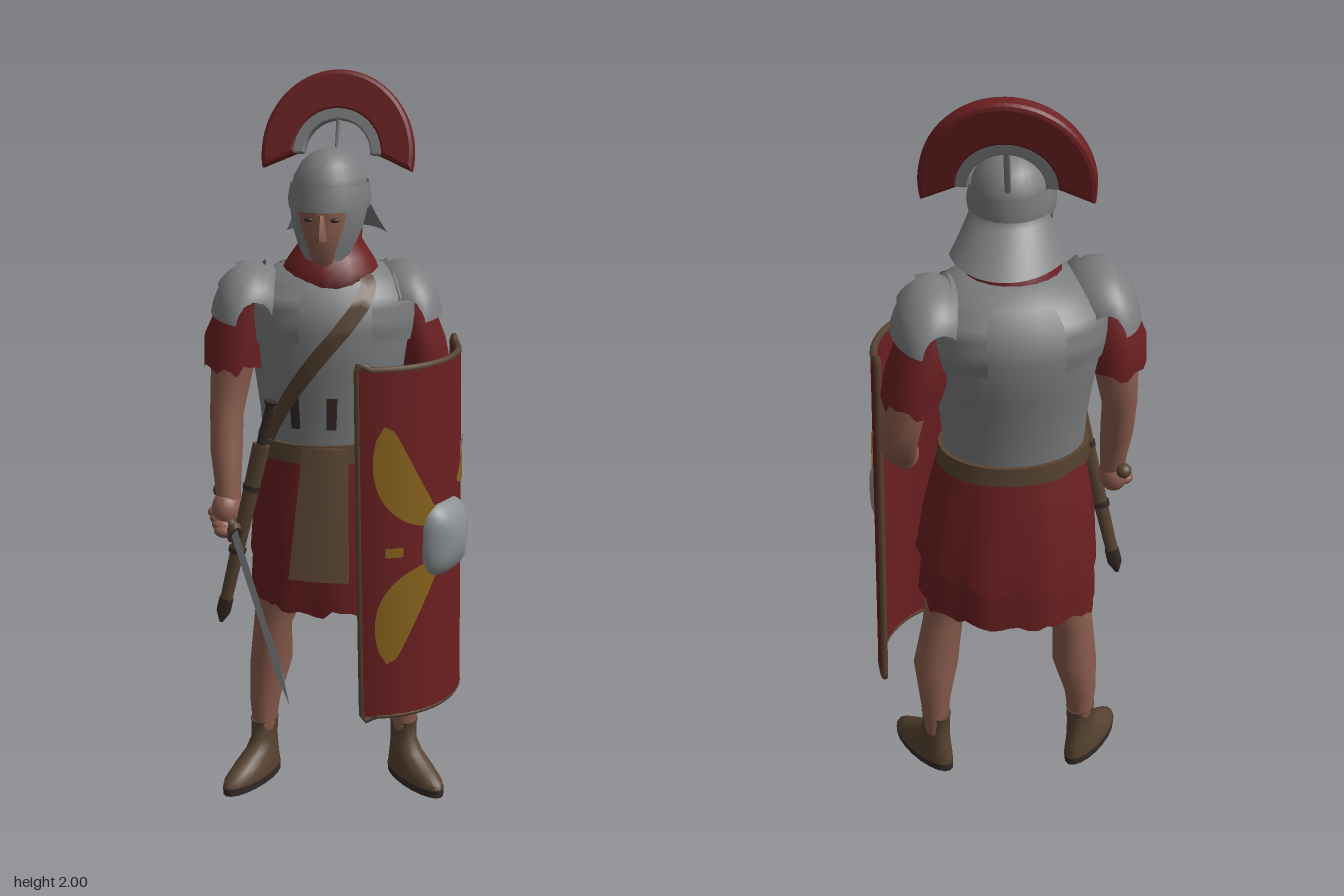
import * as THREE from 'three';
import { toCreasedNormals } from 'three/addons/utils/BufferGeometryUtils.js';
import { ParametricGeometry } from 'three/addons/geometries/ParametricGeometry.js';

const mat = (name, color) => Object.assign(new THREE.MeshStandardMaterial({ color, side: THREE.DoubleSide }), { name });
const V = (x, y, z) => new THREE.Vector3(x, y, z);
const lerp = THREE.MathUtils.lerp;

// Skin of elliptical rings, rows run bottom to top: [x, y, z, rx, rz]
function tube(rows, { yaw = 0, follow = false, segs = 20, hem = 0, pleat = 0, open = false, crease = 0.9 } = {}) {
  const pos = [], idx = [], c = rows.map(r => V(r[0], r[1], r[2]));
  rows.forEach((r, i) => {
    const q = new THREE.Quaternion();
    if (follow) q.setFromUnitVectors(V(0, 1, 0), c[Math.min(i + 1, c.length - 1)].clone().sub(c[Math.max(i - 1, 0)]).normalize());
    q.multiply(new THREE.Quaternion().setFromAxisAngle(V(0, 1, 0), yaw));
    for (let j = 0; j < segs; j++) {
      const a = j / segs * Math.PI * 2, fade = 1 - i / (rows.length - 1);
      const k = 1 + pleat * fade * Math.sin(a * 9), noise = Math.abs(Math.sin(j * 12.99) * 43.7) % 1;
      const p = V(r[3] * k * Math.sin(a), i ? 0 : hem * noise, r[4] * k * Math.cos(a)).applyQuaternion(q).add(c[i]);
      pos.push(p.x, p.y, p.z);
    }
  });
  const at = (i, j) => i * segs + j % segs, n = rows.length - 1;
  for (let i = 0; i < n; i++) for (let j = 0; j < segs; j++)
    idx.push(at(i, j), at(i, j + 1), at(i + 1, j + 1), at(i, j), at(i + 1, j + 1), at(i + 1, j));
  if (!open) {
    pos.push(...c[0].toArray(), ...c[n].toArray());
    const b = (n + 1) * segs;
    for (let j = 0; j < segs; j++) idx.push(b, at(0, j + 1), at(0, j), b + 1, at(n, j), at(n, j + 1));
  }
  const g = new THREE.BufferGeometry();
  g.setAttribute('position', new THREE.Float32BufferAttribute(pos, 3));
  g.setIndex(idx);
  g.computeVertexNormals();
  return toCreasedNormals(g, crease);
}
const sheet = (f, nu = 16, nv = 6) => new ParametricGeometry((u, v, t) => t.copy(f(u, v)), nu, nv);

export function createModel() {
  const root = new THREE.Group();
  root.name = 'legionary';
  const red = mat('red cloth', 0x6b1f21), steel = mat('steel', 0x7b7d7e), bright = mat('polished steel', 0x8b8f91),
    skin = mat('skin', 0x8a5c4d), leather = mat('leather', 0x574331), dark = mat('dark leather', 0x352b27), gold = mat('gold paint', 0x86621c);
  const add = (name, geo, m, parent = root) => {
    const mesh = new THREE.Mesh(geo, m);
    mesh.name = name;
    parent.add(mesh);
    return mesh;
  };
  const ball = (name, m, p, s) => {
    const b = add(name, new THREE.SphereGeometry(1, 20, 14), m);
    b.position.set(...p); b.scale.set(...s);
  };

  // Legs and shoes
  add('rightLeg', tube([[-.218, .12, -.148, .03, .036], [-.215, .24, -.152, .043, .048], [-.198, .36, -.165, .06, .062],
    [-.19, .48, -.155, .054, .056], [-.15, .62, -.165, .08, .085], [-.11, .8, -.17, .1, .1]]), skin);
  add('leftLeg', tube([[.18, .12, -.225, .03, .036], [.18, .24, -.222, .043, .048], [.175, .36, -.225, .06, .06],
    [.158, .48, -.2, .054, .056], [.12, .62, -.185, .08, .085], [.09, .8, -.18, .1, .1]]), skin);
  for (const [side, x, z, yaw] of [['right', -.218, -.148, -.42], ['left', .18, -.222, .78]]) {
    const foot = new THREE.Group();
    foot.name = side + 'Foot';
    foot.position.set(x, 0, z);
    foot.rotation.y = yaw;
    root.add(foot);
    add('shoe', tube([[0, .02, .06, .045, .12], [0, .035, .058, .047, .117], [0, .06, .04, .042, .095],
      [0, .09, .012, .037, .06], [0, .12, 0, .034, .045], [0, .17, -.002, .036, .043], [0, .178, -.002, .038, .046]]), leather, foot);
    add('sole', tube([[0, 0, .06, .045, .122], [0, .022, .06, .047, .123]]), dark, foot);
  }

  // Tunic skirt in two ragged layers
  add('skirt', tube([[-.015, .56, -.175, .235, .16], [-.02, .75, -.175, .222, .163], [-.02, .9, -.17, .205, .155],
    [-.025, 1.03, -.165, .18, .135]], { segs: 60, hem: .025, pleat: .03, open: true }), red);
  add('upperSkirt', tube([[-.015, .68, -.188, .236, .175], [-.02, .85, -.18, .222, .168], [-.025, 1.03, -.165, .185, .138]],
    { segs: 60, hem: .06, pleat: .03, open: true }), red);

  // Breastplate, belt, apron
  const yaw = .28;
  const torso = [[-.03, 1.03, -.165, .178, .14], [-.03, 1.12, -.165, .184, .152], [-.03, 1.25, -.168, .202, .178],
    [-.03, 1.37, -.173, .225, .2], [-.03, 1.44, -.173, .225, .19], [-.025, 1.49, -.17, .185, .15], [-.02, 1.525, -.165, .11, .1]];
  add('breastplate', tube(torso, { yaw, segs: 32 }), steel);
  add('belt', tube([[-.028, 1.005, -.165, .196, .156], [-.03, 1.055, -.165, .192, .154]], { yaw, segs: 32 }), leather);
  const apron = new THREE.BoxGeometry(1, .34, .018, 4, 4, 1), ap = apron.attributes.position;
  for (let i = 0; i < ap.count; i++) {
    const d = .5 - ap.getY(i) / .34, u = ap.getX(i);
    ap.setXYZ(i, -.01 + u * lerp(.12, .16, d), .88 + ap.getY(i), ap.getZ(i) + lerp(-.01, .08, d) - u * u * .03);
  }
  apron.computeVertexNormals();
  add('apron', apron, leather);

  // Plates lying on the breastplate: shoulder flaps, strap, tabs
  const onTorso = (a, y, k) => {
    let i = 0;
    while (i < torso.length - 2 && torso[i + 1][1] < y) i++;
    const A = torso[i], B = torso[i + 1], f = (y - A[1]) / (B[1] - A[1]), m = n => lerp(A[n], B[n], f);
    return V(m(3) * k * Math.sin(a), y, m(4) * k * Math.cos(a)).applyAxisAngle(V(0, 1, 0), yaw).add(V(m(0), 0, m(2)));
  };
  for (const s of [-1, 1]) for (const mid of [0, Math.PI])
    add('shoulderFlap', sheet((u, v) => onTorso(mid + s * lerp(.42, 1.25, u), lerp(1.34 - .02 * u, 1.51, v), 1.03)), steel);
  add('strap', sheet((u, v) => onTorso(lerp(.55, -1.1, u) + (v - .5) * .16, lerp(1.515, 1.05, u) - (v - .5) * .025, 1.05), 24, 2), leather);
  for (const a of [-.62, -.1]) add('buckleTab', sheet((u, v) => onTorso(a + u * .14, 1.1 + v * .09, 1.03), 2, 4), dark);

  // Rounded shoulder plates in overlapping lames
  for (const [side, s, x, y, z] of [['right', -1, -.22, 1.375, -.1], ['left', 1, .15, 1.37, -.232]]) {
    const g = new THREE.Group();
    g.name = side + 'ShoulderArmour';
    g.position.set(x, y, z);
    g.rotation.y = yaw;
    root.add(g);
    [-1.05, -.35, .2, .72].forEach((p0, k) => add('lame', sheet((u, v) => {
      const f = (u - .5) * 2.7, p = p0 + v * .75, r = 1.02 + .08 * v - k * .01, c = .3 + .7 * Math.cos(f);
      return V(s * .105 * r * Math.sin(p) * c, .142 * r * Math.cos(p) * c, .13 * r * Math.sin(f));
    }), steel, g));
  }

  // Sleeves, arms and hands
  add('rightSleeve', tube([[-.268, 1.235, -.09, .084, .098], [-.262, 1.33, -.095, .088, .1], [-.23, 1.44, -.1, .07, .08]],
    { segs: 28, hem: .03, open: true, yaw }), red);
  add('leftSleeve', tube([[.208, 1.2, -.275, .076, .092], [.19, 1.3, -.268, .08, .1], [.16, 1.43, -.24, .065, .08]],
    { segs: 28, hem: .04, open: true, yaw }), red);
  add('rightArm', tube([[-.275, .89, -.015, .032, .034], [-.285, 1.02, -.04, .043, .043], [-.29, 1.12, -.07, .045, .047],
    [-.28, 1.22, -.085, .055, .055], [-.255, 1.36, -.09, .06, .06]], { follow: true }), skin);
  add('leftArm', tube([[.262, .94, -.1, .032, .032], [.262, 1.0, -.17, .043, .043], [.25, 1.07, -.25, .048, .046],
    [.235, 1.15, -.285, .052, .05], [.2, 1.3, -.27, .06, .06]], { follow: true }), skin);
  ball('rightHand', skin, [-.28, .865, -.01], [.04, .05, .046]);
  ball('leftHand', skin, [.264, .93, -.08], [.035, .042, .042]);
  const tip = V(-.02, .497, .385), hilt = V(-.28, .86, -.01), along = t => hilt.clone().lerp(tip, t);
  for (let i = 0; i < 4; i++) ball('finger', skin, along(-.04 + i * .035).add(V(-.012, -.022, .016)).toArray(), [.03, .018, .024]);

  // Sword
  const blade = (t, w, d) => [...along(t).toArray(), w, d];
  const turn = { follow: true, yaw: .57 };
  add('blade', tube([blade(1, .001, .001), blade(.82, .01, .03), blade(.5, .008, .026), blade(.13, .01, .03)], { ...turn, segs: 4, crease: .3 }), bright);
  add('guard', tube([blade(.14, .02, .036), blade(.11, .02, .036)], turn), leather);
  add('grip', tube([blade(.13, .014, .014), blade(-.1, .014, .014)], turn), leather);
  ball('pommel', leather, along(-.11).toArray(), [.02, .02, .02]);

  // Scabbard at the right hip
  const hang = t => [lerp(-.3, -.175, t), lerp(.535, 1.06, t), lerp(.0, .015, t)];
  add('scabbard', tube([[...hang(.12), .017, .012], [...hang(1), .024, .015]], { follow: true, segs: 10 }), leather);
  add('scabbardTip', tube([[...hang(0), .005, .005], [...hang(.06), .02, .014], [...hang(.14), .02, .015]], { follow: true, segs: 10 }), dark);
  for (const t of [.4, .75]) add('scabbardBand', tube([[...hang(t), .024, .017], [...hang(t + .03), .025, .018]], { follow: true, segs: 10 }), dark);
  add('daggerGrip', tube([[...hang(1), .014, .012], [...hang(1.2), .012, .012], [...hang(1.23), .02, .016]], { follow: true, segs: 10 }), dark);

  // Neck scarf, face
  add('scarf', tube([[-.02, 1.47, -.14, .13, .13], [-.02, 1.515, -.142, .125, .125], [-.02, 1.545, -.145, .105, .11],
    [-.02, 1.58, -.15, .08, .09], [-.02, 1.66, -.16, .08, .085]], { crease: 2 }), red);
  add('face', tube([[-.02, 1.53, -.075, .03, .045], [-.02, 1.555, -.085, .052, .07], [-.02, 1.62, -.105, .076, .092], [-.02, 1.7, -.11, .084, .098]]), skin);
  add('nose', tube([[-.02, 1.6, -.012, .016, .02], [-.02, 1.615, -.008, .015, .02], [-.02, 1.665, -.016, .008, .012]], { segs: 8 }), skin);
  for (const s of [-1, 1]) ball('eye', dark, [-.02 + s * .033, 1.652, -.022], [.013, .006, .008]);

  // Helmet: rounded dome, brow band, neck guard, cheek guards
  add('helmetDome', tube([[-.02, 1.7, -.13, .1, .118], [-.02, 1.75, -.13, .092, .11], [-.02, 1.785, -.13, .072, .09],
    [-.02, 1.808, -.13, .045, .06], [-.02, 1.82, -.13, .012, .016]], { segs: 28, crease: 2 }), steel);
  add('browBand', tube([[-.02, 1.672, -.125, .104, .124], [-.02, 1.695, -.127, .107, .125], [-.02, 1.735, -.13, .1, .117]], { segs: 28, open: true }), steel);
  add('neckGuard', sheet((u, v) => {
    const a = Math.PI + (u - .5) * 2.3;
    return V(-.02 + Math.sin(a) * lerp(.1, .15, v), 1.69 - .105 * Math.pow(v, .85), -.13 + Math.cos(a) * lerp(.11, .235, v));
  }), steel);
  for (const s of [-1, 1]) add(s < 0 ? 'rightCheekGuard' : 'leftCheekGuard', sheet((u, v) => {
    const a = lerp(lerp(.72, .4, v), lerp(1.6, 1.0, v), u);
    return V(-.02 + s * Math.sin(a) * lerp(.1, .066, v * v), 1.685 - .14 * v, -.12 + Math.cos(a) * lerp(.115, .1, v));
  }, 8, 8), steel);

  // Transverse crest leaning back on its post
  const arch = (ro, ry, ri, end, depth, bevel) => {
    const s = new THREE.Shape();
    s.absellipse(0, 0, ro, ry, -end, Math.PI + end, false);
    s.absellipse(0, 0, ri, ri, Math.PI + end * .1, -end * .1, true);
    return new THREE.ExtrudeGeometry(s, { depth, curveSegments: 20, bevelThickness: bevel, bevelSize: bevel, bevelOffset: -bevel, bevelSegments: 2 }).translate(0, 0, -depth / 2);
  };
  const crest = new THREE.Group();
  crest.name = 'crest';
  crest.position.set(-.025, 1.785, -.262);
  crest.rotation.set(-.22, .03, 0);
  root.add(crest);
  add('plume', arch(.203, .217, .11, .19, .022, .012), red, crest);
  add('crestHolder', arch(.12, .12, .088, .02, .034, .004), steel, crest);
  add('crestPost', tube([[-.022, 1.74, -.225, .008, .008], [-.025, 1.8, -.262, .008, .008], [-.025, 1.885, -.282, .008, .008]], { follow: true, segs: 10 }), steel);

  // Curved shield: point at angle th, height y, radius r
  const R = .255, T0 = .1, T1 = 2.04, Y0 = .335, Y1 = 1.295;
  const onShield = (th, y, r = R) => V(.07 + r * Math.sin(th) + (1.3 - y) * .02, y, -.154 + r * Math.cos(th));
  for (const [name, r] of [['shieldFace', R], ['shieldBack', R - .016]])
    add(name, sheet((u, v) => onShield(lerp(T0, T1, u), lerp(Y0, Y1, v), r), 24, 4), red);
  const edge = [];
  for (let i = 0; i < 16; i++) edge.push(onShield(lerp(T0, T1, i / 15), Y0, R - .008));
  for (let i = 0; i < 16; i++) edge.push(onShield(lerp(T1, T0, i / 15), Y1, R - .008));
  add('shieldRim', new THREE.TubeGeometry(new THREE.CatmullRomCurve3(edge, true, 'catmullrom', .1), 160, .0095, 8, true), leather);

  // Squarish domed boss
  const soft = n => Math.sign(n) * Math.pow(Math.abs(n), .6);
  const boss = add('shieldBoss', sheet((u, v) => {
    const a = u * Math.PI * 2, w = Math.sin(v * Math.PI / 2);
    return V(.088 * w * soft(Math.cos(a)), .104 * w * soft(Math.sin(a)), .062 * Math.cos(v * Math.PI / 2) - .014);
  }, 32, 8), bright);
  boss.position.copy(onShield(1.13, .815));
  boss.rotation.y = 1.13;

  // Painted wings: start, bend, end as [angle, height], then half width
  for (const [a, b, c, w] of [[[.36, 1.15], [.4, .95], [.95, .87], .2], [[.36, .49], [.4, .68], [.95, .76], .2],
    [[1.74, 1.06], [1.7, .96], [1.38, .95], .14], [[.36, .805], [.45, .805], [.55, .805], 0]]) {
    const lean = -.14 * Math.sign((c[0] - a[0]) * (c[1] - a[1]));
    add('shieldPaint', sheet((u, v) => {
      const q = n => (1 - u) ** 2 * a[n] + 2 * u * (1 - u) * b[n] + u * u * c[n];
      const side = (v - .5) * 2, k = Math.sqrt(Math.sin(Math.PI * u)) * w;
      return onShield(q(0) + side * k, q(1) + side * (w ? k * lean : .013), R + .004);
    }, 16, 4), gold);
  }
  return root;
}
